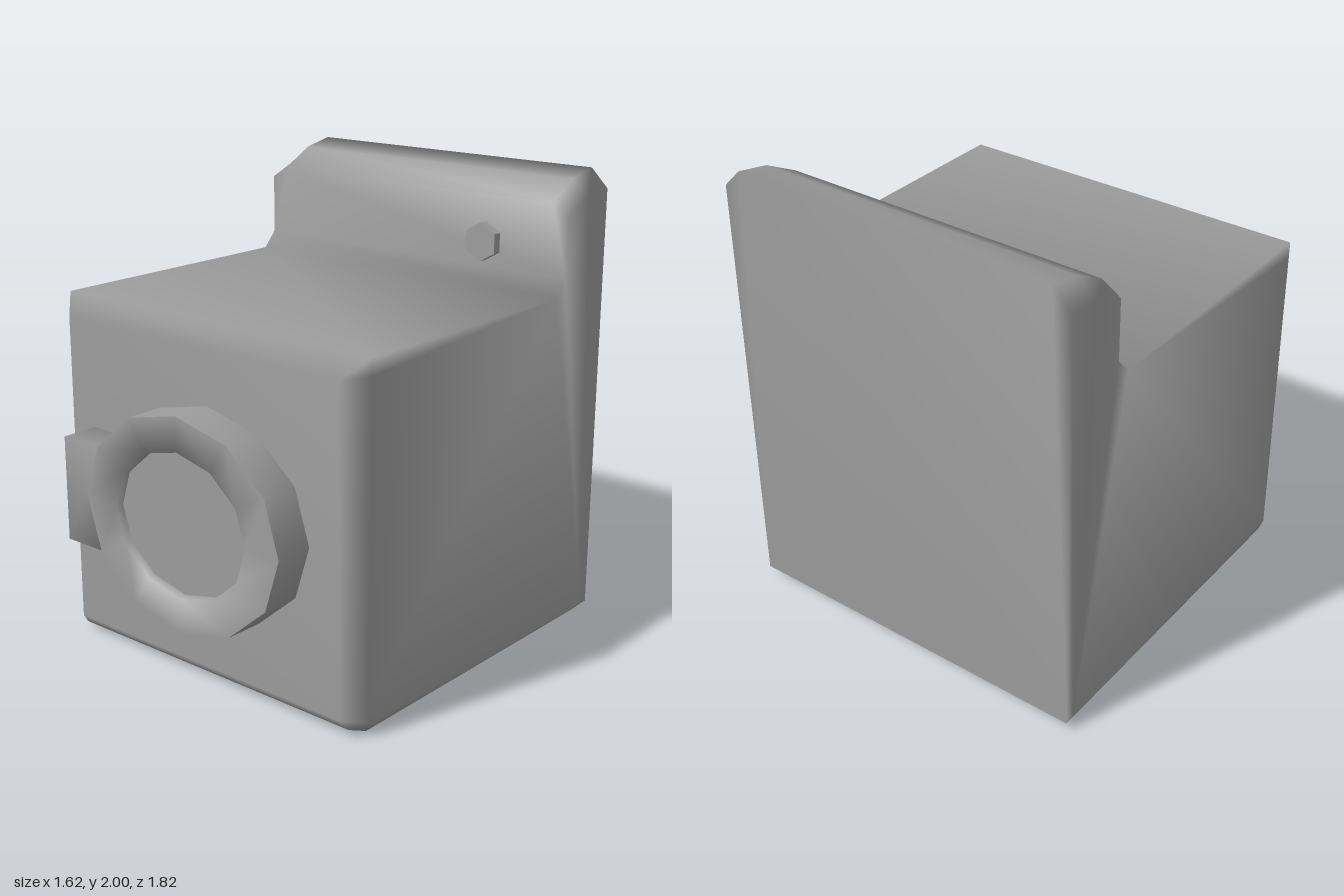
import * as THREE from 'three';
import { mergeVertices, toCreasedNormals } from 'three/addons/utils/BufferGeometryUtils.js';

const material = new THREE.MeshStandardMaterial({ color: 0x9d9d9d });

function addPart(group, name, geometry) {
  const mesh = new THREE.Mesh(geometry, material);
  mesh.name = name;
  group.add(mesh);
  return mesh;
}

// Weld the corners and shade smoothly over every edge
function smooth(geometry) {
  geometry.deleteAttribute('uv');
  geometry.deleteAttribute('normal');
  const welded = mergeVertices(geometry);
  welded.computeVertexNormals();
  return welded;
}

// Side profile, each row: half width, z, y of the inner section, then z, y of the outer end section
const PROFILE = [
  [0.77, -0.86, 0, -0.86, 0.04],
  [0.77, 0.62, 0, 0.62, 0.04],
  [0.75, 0.70, 0.03, 0.66, 0.06],
  [0.73, 0.74, 0.08, 0.66, 0.10],
  [0.73, 0.74, 1.43, 0.66, 1.44],
  [0.81, 0.66, 1.51, 0.66, 1.51],
  [0.81, -0.545, 1.51, -0.545, 1.51],
  [0.81, -0.61, 1.58, -0.61, 1.58],
  [0.73, -0.61, 1.89, -0.61, 1.84],
  [0.73, -0.76, 1.97, -0.76, 1.90],
  [0.73, -0.905, 2.0, -0.905, 1.92],
  [0.81, -0.905, 0.04, -0.905, 0.04],
];

// Loft through four sections across the width, closed by flat side caps
function bodyGeometry() {
  const half = 0.81, n = PROFILE.length;
  const end = (s) => PROFILE.map((p) => [s * half, p[4], p[3]]);
  const inner = (s) => PROFILE.map((p) => [s * p[0], p[2], p[1]]);
  const positions = [end(-1), inner(-1), inner(1), end(1)].flat(2);
  const index = [];
  for (let s = 0; s < 3; s++) {
    for (let i = 0; i < n; i++) {
      const j = (i + 1) % n;
      const a = s * n + i, a2 = s * n + j, b = a + n, b2 = a2 + n;
      index.push(a, b, a2, b, b2, a2);
    }
  }
  const outline = PROFILE.map((p) => new THREE.Vector2(p[3], p[4]));
  for (const [a, b, c] of THREE.ShapeUtils.triangulateShape(outline, [])) {
    index.push(a, b, c, 3 * n + a, 3 * n + c, 3 * n + b);
  }
  const geometry = new THREE.BufferGeometry();
  geometry.setAttribute('position', new THREE.Float32BufferAttribute(positions, 3));
  geometry.setIndex(index);
  return geometry;
}

export function createModel() {
  const group = new THREE.Group();
  group.name = 'washingMachine';

  // Cabinet with raised control panel at the back
  addPart(group, 'cabinet', smooth(bodyGeometry()));

  // Oval twelve-sided door rim: outer wall, front, short inner wall
  const rim = new THREE.LatheGeometry(
    [[1, 0], [1, 0.17], [0.675, 0.17], [0.66, 0.14]].map(([r, y]) => new THREE.Vector2(r, y)),
    12
  );
  rim.rotateX(Math.PI / 2);
  rim.scale(0.525, 0.45, 1);
  addPart(group, 'doorRim', toCreasedNormals(rim, 1.42)).position.set(0.06, 0.75, 0.74);

  // Flat door window, slightly recessed in the rim
  const glass = new THREE.CircleGeometry(0.66, 12);
  glass.scale(0.525, 0.45, 1);
  addPart(group, 'doorWindow', glass).position.set(0.06, 0.75, 0.88);

  // Door hinge block, set into the cabinet and running under the rim
  const hinge = smooth(new THREE.BoxGeometry(0.25, 0.45, 0.4));
  addPart(group, 'hinge', hinge).position.set(-0.475, 0.75, 0.705);

  // Six-sided control knob
  const knob = new THREE.CylinderGeometry(0.084, 0.084, 0.06, 6);
  knob.rotateX(Math.PI / 2);
  addPart(group, 'knob', toCreasedNormals(knob, 0.9)).position.set(0.405, 1.69, -0.6);

  return group;
}
